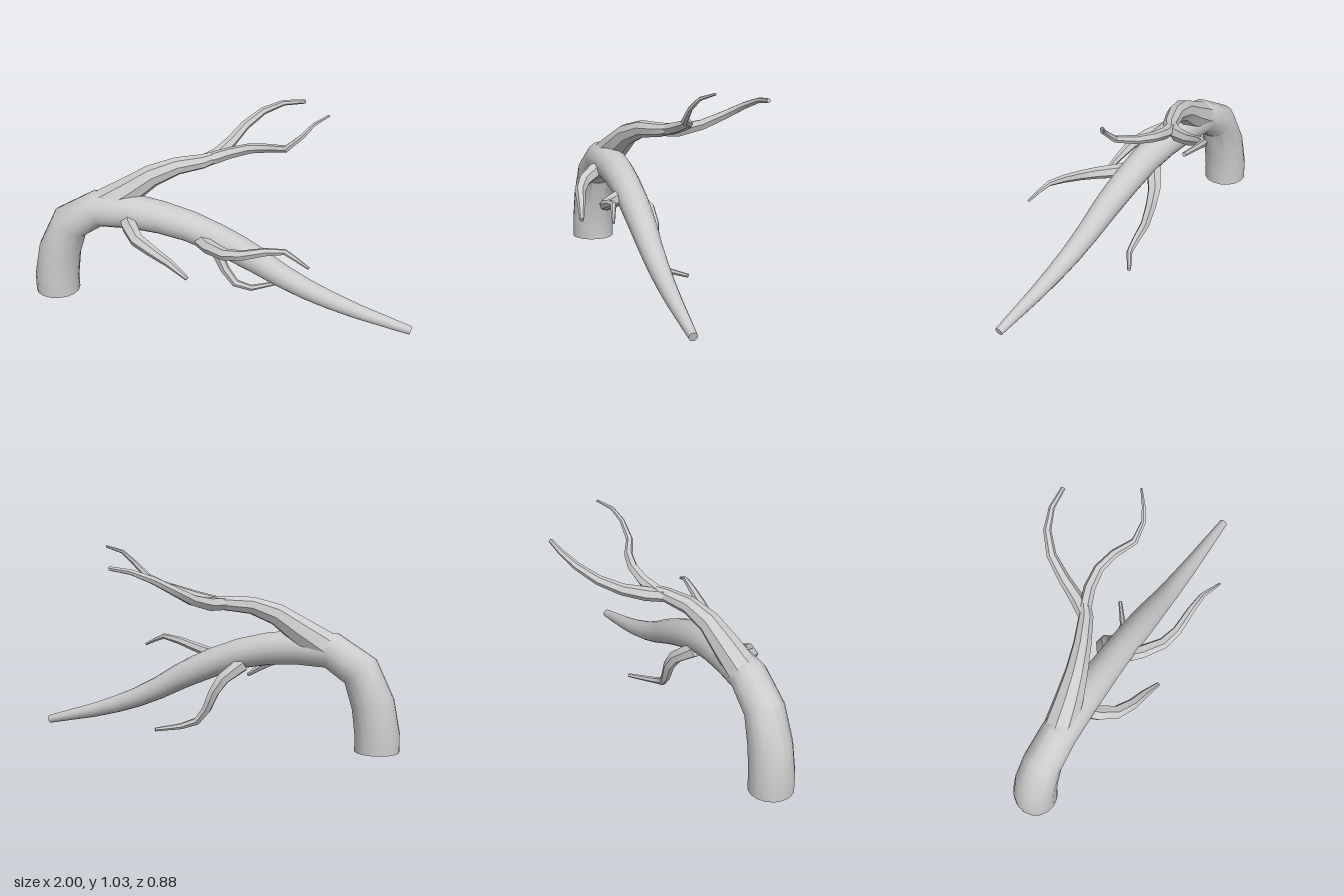
import * as THREE from 'three';
import { toCreasedNormals } from 'three/addons/utils/BufferGeometryUtils.js';

const material = new THREE.MeshStandardMaterial({ color: 0xcccccc });

// Tapered limb through rows of [x, y, z, radius], capped at both ends
function limb(name, rows, sides) {
  const pts = rows.map(r => new THREE.Vector3(r[0], r[1], r[2]));
  const last = pts.length - 1;
  const pos = [], index = [];
  const normal = new THREE.Vector3(0, 0, 1);
  pts.forEach((p, i) => {
    // tangent bisects the neighbouring segments
    const tangent = new THREE.Vector3();
    if (i > 0) tangent.add(p.clone().sub(pts[i - 1]).normalize());
    if (i < last) tangent.add(pts[i + 1].clone().sub(p).normalize());
    tangent.normalize();
    // carry the ring orientation along the limb without twisting
    normal.addScaledVector(tangent, -normal.dot(tangent)).normalize();
    const side = tangent.clone().cross(normal);
    for (let j = 0; j < sides; j++) {
      const a = (j / sides) * Math.PI * 2;
      const v = p.clone()
        .addScaledVector(normal, Math.cos(a) * rows[i][3])
        .addScaledVector(side, Math.sin(a) * rows[i][3]);
      pos.push(v.x, v.y, v.z);
    }
  });
  for (let i = 0; i < last; i++) {
    for (let j = 0; j < sides; j++) {
      const k = (j + 1) % sides;
      const a = i * sides + j, b = i * sides + k;
      index.push(a, b, a + sides, b, b + sides, a + sides);
    }
  }
  // root and tip caps
  const tip = last * sides;
  for (let j = 1; j < sides - 1; j++) {
    index.push(0, j + 1, j, tip, tip + j, tip + j + 1);
  }
  const geo = new THREE.BufferGeometry();
  geo.setAttribute('position', new THREE.Float32BufferAttribute(pos, 3));
  geo.setIndex(index);
  const mesh = new THREE.Mesh(toCreasedNormals(geo, 0.6), material);
  mesh.name = name;
  return mesh;
}

export function createModel() {
  const group = new THREE.Group();
  group.name = 'bentBranch';

  // Main trunk: rises from the base, bends over and tapers down to the tip
  group.add(limb('trunk', [
    [-0.885, 0.012, 0.18, 0.115], [-0.885, 0.1, 0.18, 0.115], [-0.86, 0.255, 0.18, 0.11],
    [-0.793, 0.418, 0.18, 0.101], [-0.64, 0.515, 0.18, 0.095], [-0.45, 0.52, 0.18, 0.09],
    [-0.3, 0.503, 0.18, 0.084], [-0.15, 0.47, 0.18, 0.079], [0, 0.415, 0.18, 0.076],
    [0.1, 0.37, 0.18, 0.073], [0.2, 0.32, 0.18, 0.068], [0.32, 0.252, 0.18, 0.06],
    [0.45, 0.19, 0.18, 0.053], [0.58, 0.14, 0.18, 0.046], [0.72, 0.095, 0.18, 0.038],
    [0.86, 0.058, 0.18, 0.03], [0.992, 0.023, 0.18, 0.022],
  ], 16));

  // Upper bough and its two forks
  group.add(limb('upperBough', [
    [-0.62, 0.525, 0.17, 0.085], [-0.48, 0.617, 0.138, 0.072], [-0.37, 0.695, 0.107, 0.058],
    [-0.25, 0.742, 0.06, 0.046], [-0.13, 0.754, 0, 0.038], [-0.08, 0.765, -0.04, 0.03],
  ], 8));
  group.add(limb('backFork', [
    [-0.13, 0.752, 0, 0.034], [-0.075, 0.757, -0.09, 0.036], [-0.03, 0.788, -0.2, 0.03],
    [0.02, 0.842, -0.305, 0.025], [0.1, 0.9, -0.383, 0.02], [0.2, 0.94, -0.422, 0.015],
    [0.313, 0.955, -0.43, 0.011],
  ], 6));
  group.add(limb('topFork', [
    [-0.12, 0.752, -0.02, 0.034], [0, 0.788, -0.065, 0.03], [0.1, 0.818, -0.076, 0.026],
    [0.2, 0.84, -0.052, 0.022], [0.3, 0.87, 0.003, 0.018], [0.38, 0.945, -0.001, 0.013],
    [0.43, 1.0, -0.033, 0.01], [0.495, 1.03, -0.09, 0.006],
  ], 6));

  // Short twig on the front, near the bend
  group.add(limb('frontInnerTwig', [
    [-0.48, 0.5, 0.19, 0.045], [-0.44, 0.485, 0.28, 0.042], [-0.38, 0.45, 0.35, 0.036],
    [-0.29, 0.42, 0.39, 0.029], [-0.2, 0.375, 0.406, 0.022], [-0.1, 0.31, 0.427, 0.011],
  ], 6));

  // Longer twig on the front, half way along
  group.add(limb('frontOuterTwig', [
    [-0.12, 0.43, 0.19, 0.042], [-0.03, 0.418, 0.275, 0.037], [0.07, 0.425, 0.345, 0.031],
    [0.16, 0.445, 0.37, 0.026], [0.28, 0.482, 0.374, 0.021], [0.38, 0.5, 0.383, 0.015],
    [0.44, 0.475, 0.4, 0.011], [0.504, 0.443, 0.415, 0.007],
  ], 6));

  // Drooping twig on the back
  group.add(limb('backDroopingTwig', [
    [-0.17, 0.42, 0.14, 0.042], [-0.09, 0.35, 0.072, 0.035], [-0.045, 0.28, 0.058, 0.03],
    [0, 0.18, 0.062, 0.025], [0.06, 0.11, 0.075, 0.021], [0.14, 0.08, 0.055, 0.016],
    [0.25, 0.072, -0.035, 0.01],
  ], 6));

  return group;
}
